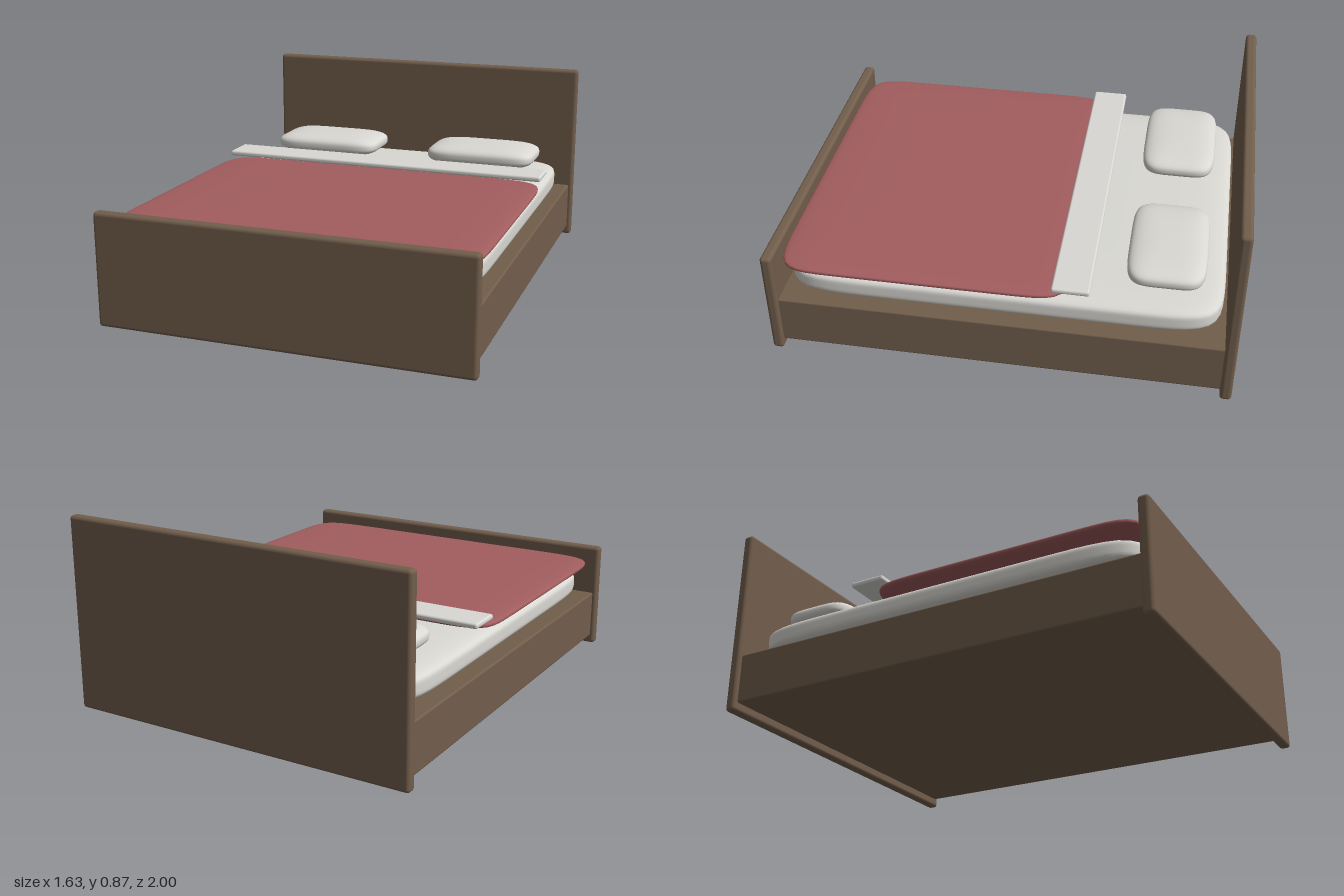
import * as THREE from 'three';
import { mergeVertices } from 'three/addons/utils/BufferGeometryUtils.js';
import { RoundedBoxGeometry } from 'three/addons/geometries/RoundedBoxGeometry.js';

const material = (name, color) => {
  const m = new THREE.MeshStandardMaterial({ color });
  m.name = name;
  return m;
};

// Puffy cushion: a cube grid pulled onto a superellipsoid.
// plan = squareness seen from above, side = squareness of the upright section.
function cushionGeometry(w, h, d, plan, side) {
  let geo = new THREE.BoxGeometry(2, 2, 2, 28, 16, 28);
  geo.deleteAttribute('normal');
  geo.deleteAttribute('uv');
  geo = mergeVertices(geo);
  const pos = geo.attributes.position;
  const v = new THREE.Vector3();
  for (let i = 0; i < pos.count; i++) {
    v.fromBufferAttribute(pos, i);
    const ring = (Math.abs(v.x) ** plan + Math.abs(v.z) ** plan) ** (side / plan);
    v.multiplyScalar((ring + Math.abs(v.y) ** side) ** (-1 / side));
    pos.setXYZ(i, v.x * w / 2, v.y * h / 2, v.z * d / 2);
  }
  geo.computeVertexNormals();
  return geo;
}

export function createModel() {
  const bed = new THREE.Group();
  bed.name = 'bed';
  const wood = material('brown wood', 0x725e4c);
  const linen = material('white linen', 0xd9d8d3);
  const red = material('red blanket', 0xa25d5e);

  const add = (name, geo, mat, x, y, z) => {
    const mesh = new THREE.Mesh(geo, mat);
    mesh.name = name;
    mesh.position.set(x, y, z);
    bed.add(mesh);
  };

  // Wooden frame
  add('headboard', new RoundedBoxGeometry(1.63, 0.865, 0.05, 3, 0.016), wood, 0, 0.4325, -0.975);
  add('footboard', new RoundedBoxGeometry(1.63, 0.5, 0.05, 3, 0.016), wood, 0, 0.25, 0.975);
  add('base', new RoundedBoxGeometry(1.59, 0.225, 1.92, 2, 0.008), wood, 0, 0.1525, 0);

  // Bedding
  add('mattress', cushionGeometry(1.52, 0.134, 1.87, 11, 5.5), linen, 0, 0.343, 0);
  add('blanket', cushionGeometry(1.58, 0.046, 1.25, 12, 4), red, 0, 0.433, 0.325);
  add('foldedSheet', new RoundedBoxGeometry(1.57, 0.025, 0.16, 3, 0.01), linen, 0, 0.472, -0.306);
  for (const [name, side] of [['leftPillow', 1], ['rightPillow', -1]]) {
    add(name, cushionGeometry(0.535, 0.1, 0.335, 5, 3), linen, side * 0.405, 0.47, -0.683);
  }
  return bed;
}
